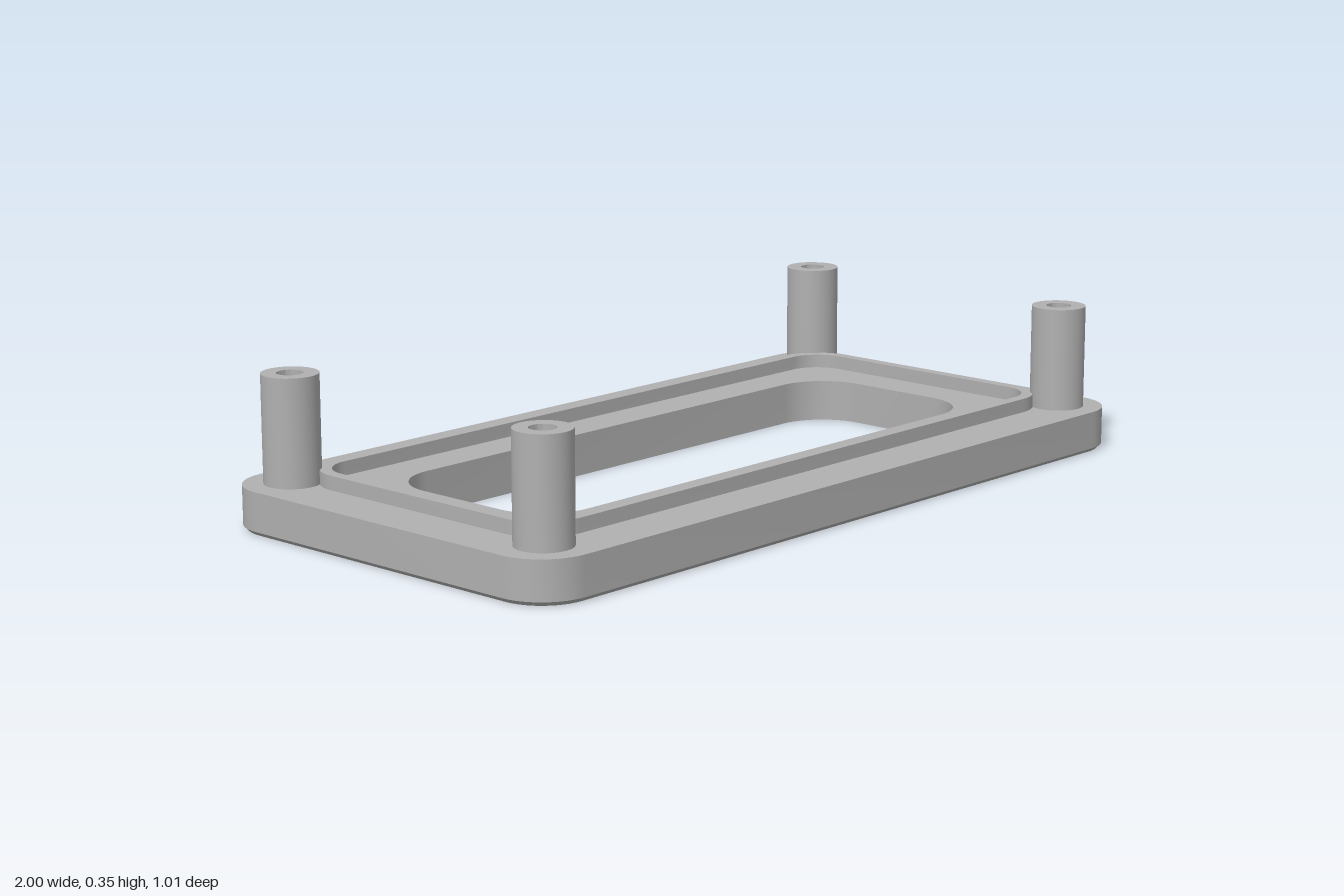
import * as THREE from 'three';
import { mergeGeometries, toCreasedNormals } from 'three/addons/utils/BufferGeometryUtils.js';

const POST_X = 0.885, POST_Z = 0.392, SEGMENTS = 40;

// Rounded rectangle outline, counter-clockwise, w and h are half sizes
function outline(w, h, r) {
  const pts = [];
  [[1, 1], [-1, 1], [-1, -1], [1, -1]].forEach(([sx, sy], corner) => {
    for (let i = 0; i <= 12; i++) {
      const a = (corner + i / 12) * Math.PI / 2;
      pts.push(new THREE.Vector2(sx * (w - r) + r * Math.cos(a), sy * (h - r) + r * Math.sin(a)));
    }
  });
  return pts;
}

function circle(x, y, r) {
  return Array.from({ length: SEGMENTS }, (_, i) => {
    const a = i / SEGMENTS * Math.PI * 2;
    return new THREE.Vector2(x + r * Math.cos(a), y + r * Math.sin(a));
  });
}

// Flat face with holes at height y, facing up or down
function cap(points, holes, y, up) {
  const shape = new THREE.Shape(points);
  shape.holes = holes.map((h) => new THREE.Path(h));
  const g = new THREE.ShapeGeometry(shape);
  g.rotateX(up ? -Math.PI / 2 : Math.PI / 2);
  return g.translate(0, y, 0).toNonIndexed();
}

// Strip joining a lower outline to an upper one
function wall(low, yLow, high, yHigh, inward = false) {
  const pos = [], index = [], n = low.length;
  for (let i = 0; i < n; i++) {
    pos.push(low[i].x, yLow, -low[i].y, high[i].x, yHigh, -high[i].y);
    const a = 2 * i, b = 2 * ((i + 1) % n);
    if (inward) index.push(a, a + 1, b, b, a + 1, b + 1);
    else index.push(a, b, a + 1, b, b + 1, a + 1);
  }
  const g = new THREE.BufferGeometry();
  g.setAttribute('position', new THREE.Float32BufferAttribute(pos, 3));
  g.setIndex(index);
  return g.toNonIndexed();
}

function solid(name, pieces, material) {
  pieces.forEach((g) => { g.deleteAttribute('uv'); g.deleteAttribute('normal'); });
  const geometry = toCreasedNormals(mergeGeometries(pieces), 0.5);
  const mesh = new THREE.Mesh(geometry, material);
  mesh.name = name;
  return mesh;
}

export function createModel() {
  const group = new THREE.Group();
  group.name = 'windowBezel';
  const grey = new THREE.MeshStandardMaterial({ color: 0xb0b0b0 });
  grey.name = 'grey';

  const corners = [[1, 1], [-1, 1], [-1, -1], [1, -1]];
  const holes = (r) => corners.map(([sx, sz]) => circle(sx * POST_X, sz * POST_Z, r));

  // Base plate with a window and a small chamfer round the underside
  const edge = outline(1, 0.505, 0.12);
  const foot = outline(0.99, 0.495, 0.11);
  const opening = outline(0.743, 0.25, 0.13);
  group.add(solid('basePlate', [
    cap(foot, [opening, ...holes(0.058)], 0, false),
    wall(foot, 0, edge, 0.01),
    wall(edge, 0.01, edge, 0.1),
    cap(edge, [opening, ...holes(0.05)], 0.1, true),
    wall(opening, 0, opening, 0.1, true),
  ], grey));

  // Raised sealing rim
  const rimOuter = outline(0.877, 0.381, 0.11);
  const rimInner = outline(0.849, 0.353, 0.082);
  group.add(solid('sealingRim', [
    wall(rimOuter, 0.1, rimOuter, 0.133),
    cap(rimOuter, [rimInner], 0.133, true),
    wall(rimInner, 0.1, rimInner, 0.133, true),
  ], grey));

  // Hollow corner posts, bore countersunk at the bottom
  const profile = [[0.065, 0.1], [0.065, 0.348], [0.03, 0.348], [0.03, 0.04], [0.058, 0]]
    .map(([r, y]) => new THREE.Vector2(r, y));
  for (const [sx, sz] of corners) {
    const post = solid('cornerPost', [new THREE.LatheGeometry(profile, SEGMENTS).toNonIndexed()], grey);
    post.position.set(sx * POST_X, 0, sz * POST_Z);
    group.add(post);
  }
  return group;
}
